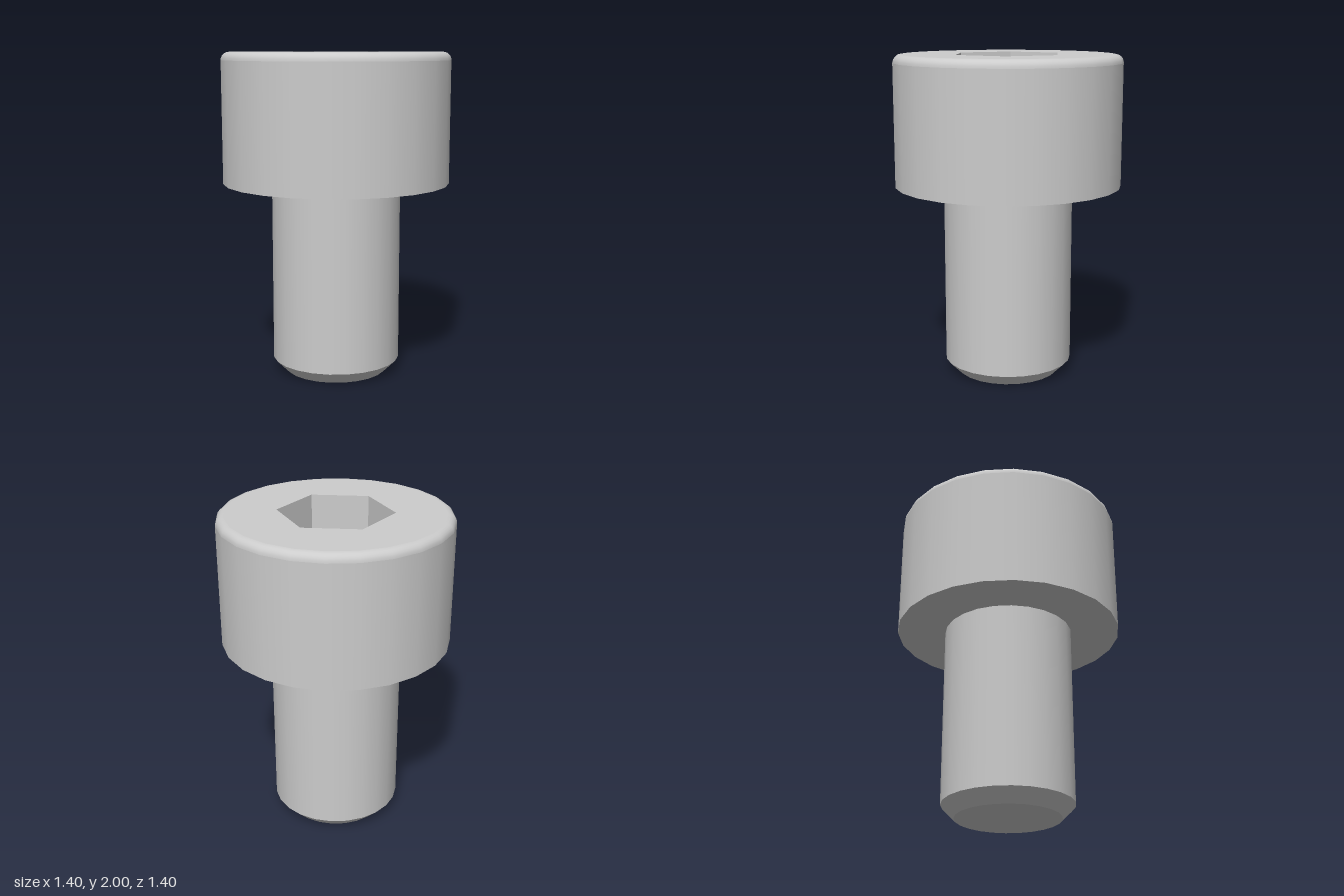
import * as THREE from 'three';

const SIDES = 24;
const HEX = 0.347; // corner radius of the hexagonal socket

export function createModel() {
  const steel = new THREE.MeshStandardMaterial({ color: 0xcccccc });
  steel.name = 'steel';
  const model = new THREE.Group();
  model.name = 'socketHeadBolt';

  const add = (parent, name, geometry) => {
    const mesh = new THREE.Mesh(geometry, steel);
    mesh.name = name;
    parent.add(mesh);
  };
  const group = (name) => {
    const g = new THREE.Group();
    g.name = name;
    model.add(g);
    return g;
  };
  // Each turned band is its own lathe, so the edges between bands stay sharp
  const turn = (points, sides = SIDES) =>
    new THREE.LatheGeometry(points.map(([r, y]) => new THREE.Vector2(r, y)), sides);
  const ring = (radius, sides) => Array.from({ length: sides }, (_, i) => {
    const a = (i / sides) * Math.PI * 2;
    return new THREE.Vector2(radius * Math.sin(a), radius * Math.cos(a));
  });

  // Shank with a chamfered tip
  const shank = group('shank');
  add(shank, 'tipFace', turn([[0, 0], [0.32, 0]]));
  add(shank, 'tipChamfer', turn([[0.32, 0], [0.4, 0.08]]));
  add(shank, 'shankSide', turn([[0.4, 0.08], [0.4, 1.2]]));

  // Cylindrical head with a rounded upper rim
  const head = group('head');
  add(head, 'headUnderside', turn([[0.4, 1.2], [0.7, 1.2]]));
  add(head, 'headSide', turn([[0.7, 1.2], [0.7, 1.95]]));
  const fillet = Array.from({ length: 7 }, (_, i) => {
    const a = (i / 6) * Math.PI / 2;
    return [0.65 + 0.05 * Math.cos(a), 1.95 + 0.05 * Math.sin(a)];
  });
  add(head, 'headRim', turn(fillet));

  // Flat top pierced by the hexagonal opening
  const face = new THREE.Shape(ring(0.65, SIDES));
  face.holes.push(new THREE.Path(ring(HEX, 6)));
  add(head, 'headTop', new THREE.ShapeGeometry(face).rotateX(-Math.PI / 2).translate(0, 2, 0));

  // Socket: flat walls and a shallow dished floor
  const socket = group('socket');
  const walls = turn([[HEX, 2], [HEX, 1.6]], 6).toNonIndexed();
  walls.computeVertexNormals();
  add(socket, 'socketWalls', walls);
  const dish = Array.from({ length: 7 }, (_, i) => {
    const t = 1 - i / 6;
    return [HEX * t, 1.48 + 0.12 * t * t];
  });
  add(socket, 'socketFloor', turn(dish, 6));

  return model;
}
